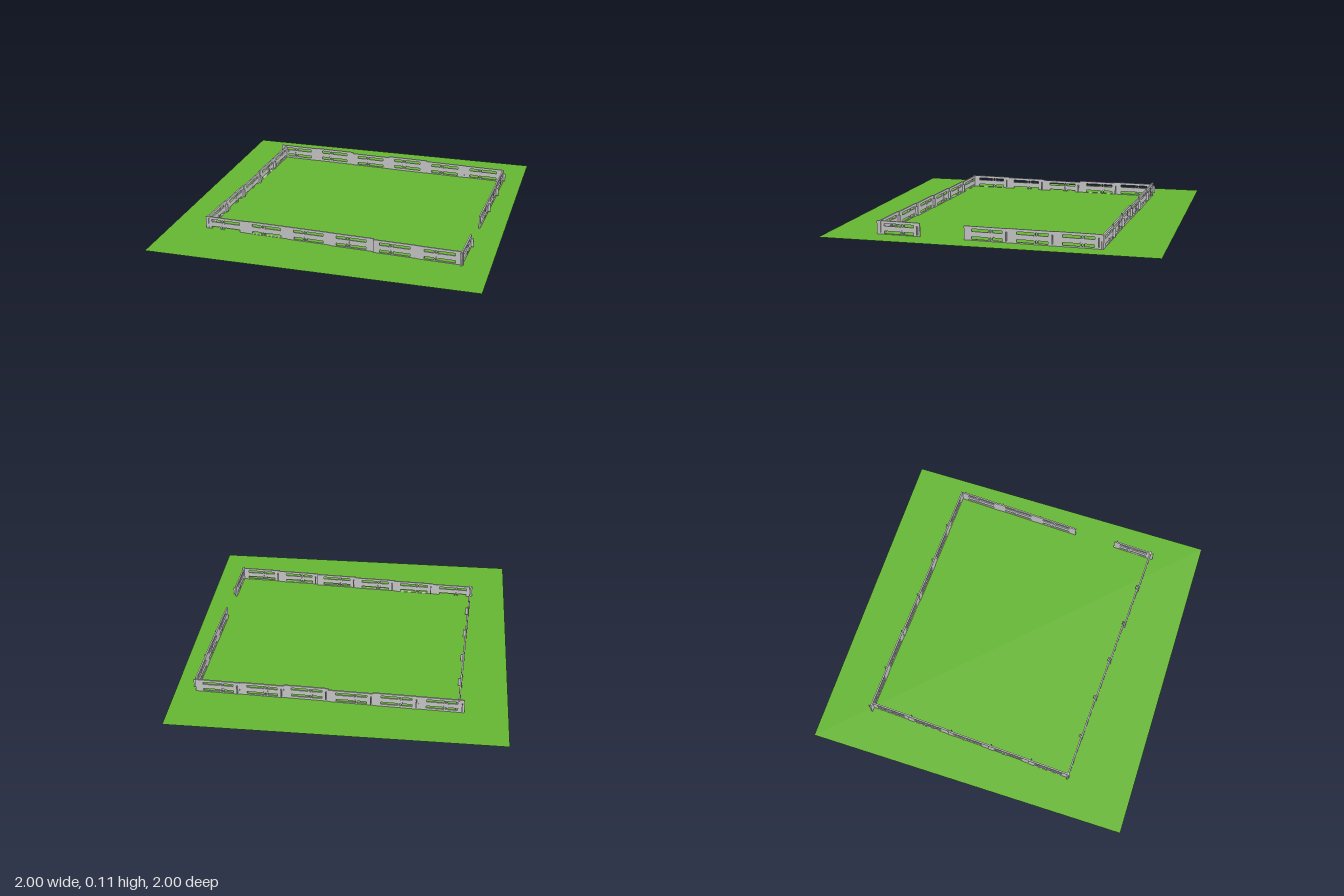
import * as THREE from 'three';

const LENGTH = 0.262, HEIGHT = 0.088, THICK = 0.009;

function rectPath(Type, x0, y0, x1, y1) {
  const p = new Type();
  p.moveTo(x0, y0);
  p.lineTo(x1, y0);
  p.lineTo(x1, y1);
  p.lineTo(x0, y1);
  p.closePath();
  return p;
}

export function createModel() {
  const model = new THREE.Group();
  const concrete = new THREE.MeshStandardMaterial({ color: 0xcccccc });
  const grass = new THREE.MeshStandardMaterial({ color: 0x66b833, side: THREE.DoubleSide });

  // Slightly skewed lawn
  const lawn = new THREE.Shape([[-1, 0.935], [-0.93, -1], [1, -0.93], [0.93, 1]]
    .map(([x, y]) => new THREE.Vector2(x, y)));
  const ground = new THREE.Mesh(new THREE.ShapeGeometry(lawn).rotateX(-Math.PI / 2), grass);
  ground.name = 'lawn';
  ground.position.y = 0.02;
  model.add(ground);

  // Panel slab with an upper and a lower slot
  const slab = rectPath(THREE.Shape, 0, 0, LENGTH, HEIGHT);
  for (const y of [0.014, 0.058]) slab.holes.push(rectPath(THREE.Path, 0.038, y, 0.217, y + 0.015));
  const slabGeo = new THREE.ExtrudeGeometry(slab, { depth: THICK, bevelEnabled: false });
  slabGeo.translate(0, 0, -THICK / 2);

  const barGeo = new THREE.BoxGeometry(0.007, 0.06, THICK + 0.002);
  const crossGeo = new THREE.BoxGeometry(0.032, 0.005, THICK + 0.002);
  const lugGeo = new THREE.BoxGeometry(0.005, 0.05, 0.016);

  function addPart(parent, name, geo, x, y, z) {
    const m = new THREE.Mesh(geo, concrete);
    m.name = name;
    m.position.set(x, y, z);
    parent.add(m);
  }

  function addPanel(name, x, y, z, turn) {
    const panel = new THREE.Group();
    panel.name = name;
    addPart(panel, 'slab', slabGeo, 0, 0, 0);
    // H-shaped brace across the slots
    for (const x of [0.098, 0.114]) addPart(panel, 'braceBar', barGeo, x, 0.0435, 0);
    for (const y of [0.035, 0.052]) addPart(panel, 'braceCross', crossGeo, 0.106, y, 0);
    // Connecting lug near the start of the panel
    addPart(panel, 'lug', lugGeo, 0.014, HEIGHT / 2, -0.011);
    panel.position.set(x, y, z);
    panel.rotation.y = turn;
    model.add(panel);
  }

  // Front and back walls: [base height, z] per panel
  const front = [[0.005, 0.6], [0.008, 0.602], [0.01, 0.606], [0.012, 0.612], [0.011, 0.622], [0.012, 0.627]];
  const back = [[0.018, -0.663], [0.02, -0.665], [0.012, -0.663], [0.02, -0.66], [0.014, -0.662], [0.012, -0.664]];
  front.forEach(([y, z], i) => addPanel('frontWallPanel', -0.732 + i * 0.261, y, z, 0));
  back.forEach(([y, z], i) => addPanel('backWallPanel', -0.74 + i * 0.26, y, z, 0));

  // Side walls: [base height, start z, x] per panel; the left wall has a gateway
  const rightSide = [[0.012, -0.67, -0.708], [0.008, -0.43, -0.71], [0, -0.17, -0.712],
    [0.005, 0.09, -0.714], [0.008, 0.347, -0.717]];
  const leftSide = [[0.014, -0.658, 0.82], [0.013, -0.4, 0.822], [0.012, -0.138, 0.822], [0.01, 0.386, 0.825]];
  for (const [y, z, x] of rightSide) addPanel('rightWallPanel', x, y, z, -Math.PI / 2);
  for (const [y, z, x] of leftSide) addPanel('leftWallPanel', x, y, z, -Math.PI / 2);

  return model;
}
